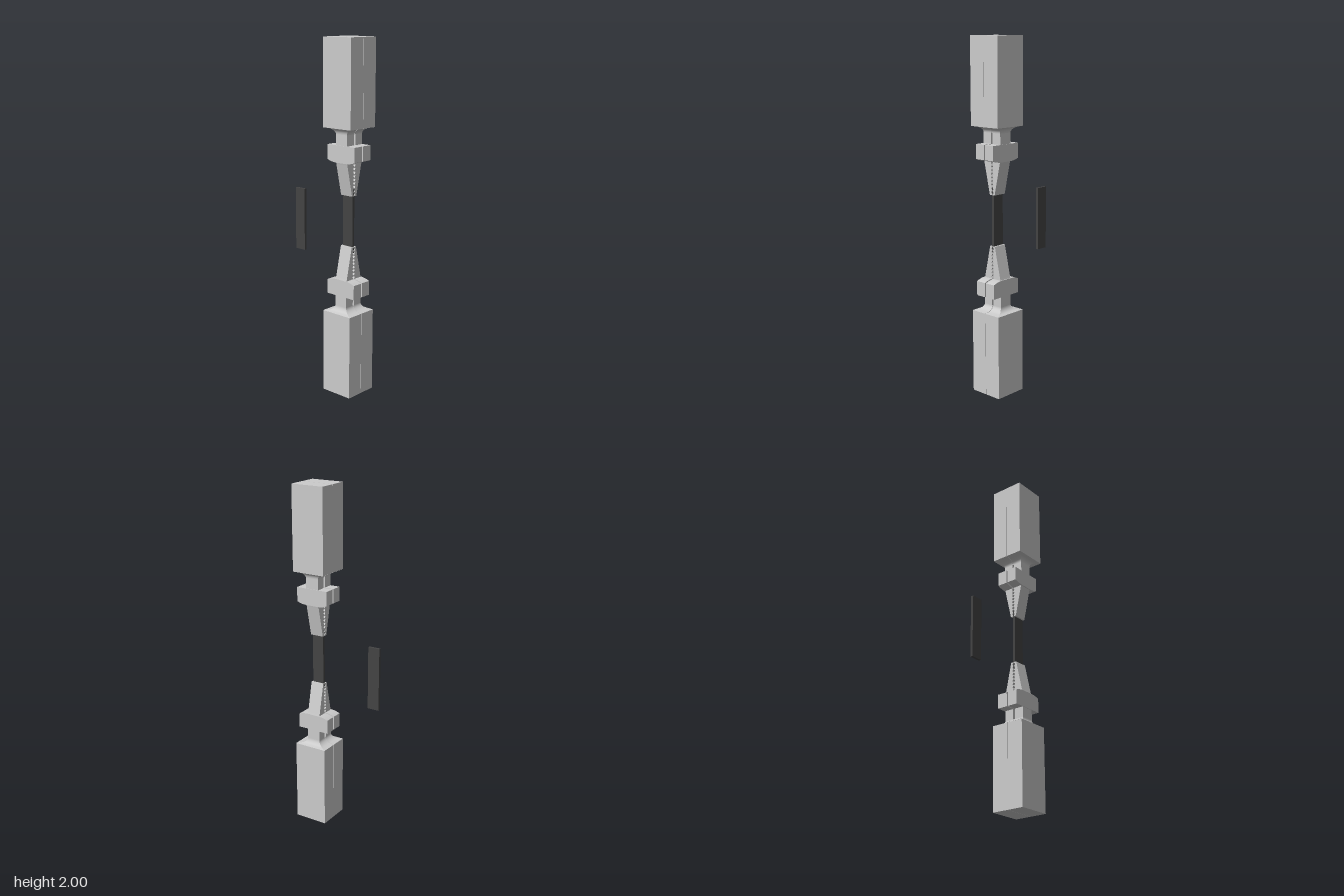
import * as THREE from 'three';

const steel = new THREE.MeshStandardMaterial({ color: 0xcccccc });
const dark = new THREE.MeshStandardMaterial({ color: 0x444444 });

function add(parent, name, geometry, material = steel) {
  const mesh = new THREE.Mesh(geometry, material);
  mesh.name = name;
  parent.add(mesh);
  return mesh;
}

// Box given by its limits
function box(x0, x1, y0, y1, z0, z1) {
  return new THREE.BoxGeometry(x1 - x0, y1 - y0, z1 - z0)
    .translate((x0 + x1) / 2, (y0 + y1) / 2, (z0 + z1) / 2);
}

// Concave transition from the wide block to the narrow neck
function shoulderGeometry() {
  const g = new THREE.BoxGeometry(1, 1, 1, 1, 8, 1);
  const p = g.attributes.position;
  for (let i = 0; i < p.count; i++) {
    const t = p.getY(i) + 0.5;
    const w = 1 - Math.sqrt(1 - (1 - t) ** 2); // 1 at the block, 0 at the neck
    p.setXYZ(i, p.getX(i) * 2 * (0.04 + 0.06 * w), 0.48 + 0.035 * t,
      p.getZ(i) < 0 ? 0.001 : 0.062 + 0.038 * w);
  }
  g.computeVertexNormals();
  return g;
}

// Collar plate whose upper corners slope off
function collarGeometry() {
  const s = new THREE.Shape();
  s.moveTo(-0.098, 0.575);
  s.lineTo(0.098, 0.575);
  s.lineTo(0.098, 0.657);
  s.quadraticCurveTo(0.07, 0.669, 0.04, 0.67);
  s.lineTo(-0.04, 0.67);
  s.quadraticCurveTo(-0.07, 0.669, -0.098, 0.657);
  s.closePath();
  return new THREE.ExtrudeGeometry(s, { depth: 0.061, bevelEnabled: false, curveSegments: 5 })
    .translate(0, 0, 0.004);
}

// Tapering jaw with a toothed gripping face, drawn as (z, y)
function jawGeometry() {
  const s = new THREE.Shape();
  s.moveTo(0.004, 0.66);
  s.lineTo(0.062, 0.66);
  s.lineTo(0.057, 0.68);
  s.lineTo(0.018, 0.856);
  s.lineTo(0.003, 0.856);
  const teeth = 9, pitch = 0.02;
  for (let i = 0; i < teeth; i++) {
    const y = 0.852 - i * pitch;
    s.lineTo(0.003, y);
    s.lineTo(0.009, y - pitch / 2);
  }
  s.lineTo(0.003, 0.852 - teeth * pitch);
  s.closePath();
  return new THREE.ExtrudeGeometry(s, { depth: 0.08, bevelEnabled: false })
    .translate(0, 0, -0.04).rotateY(-Math.PI / 2);
}

// One of the two matching halves that make up a grip
function gripHalf() {
  const half = new THREE.Group();
  half.name = 'gripHalf';
  add(half, 'handleBlock', box(-0.099, 0.099, 0, 0.48, 0.001, 0.1));
  add(half, 'shoulder', shoulderGeometry());
  add(half, 'neck', box(-0.04, 0.04, 0.51, 0.58, 0.006, 0.062));
  add(half, 'collar', collarGeometry());
  add(half, 'jaw', jawGeometry());
  return half;
}

function grip(name) {
  const group = new THREE.Group();
  group.name = name;
  const back = gripHalf();
  back.rotation.y = Math.PI;
  group.add(gripHalf(), back);
  return group;
}

export function createModel() {
  const model = new THREE.Group();
  model.name = 'testGrips';

  // Opposed grips, the upper one turned over
  const lower = grip('lowerGrip');
  lower.position.x = 0.15;
  const upper = grip('upperGrip');
  upper.position.set(0.15, 2, 0);
  upper.rotation.z = Math.PI;
  model.add(lower, upper);

  // Strip held in the jaws and a spare beside it
  const strip = new THREE.BoxGeometry(0.07, 0.364, 0.015);
  add(model, 'clampedStrip', strip, dark).position.set(0.15, 1.003, 0);
  add(model, 'spareStrip', strip, dark).position.set(-0.217, 0.952, 0);
  return model;
}
